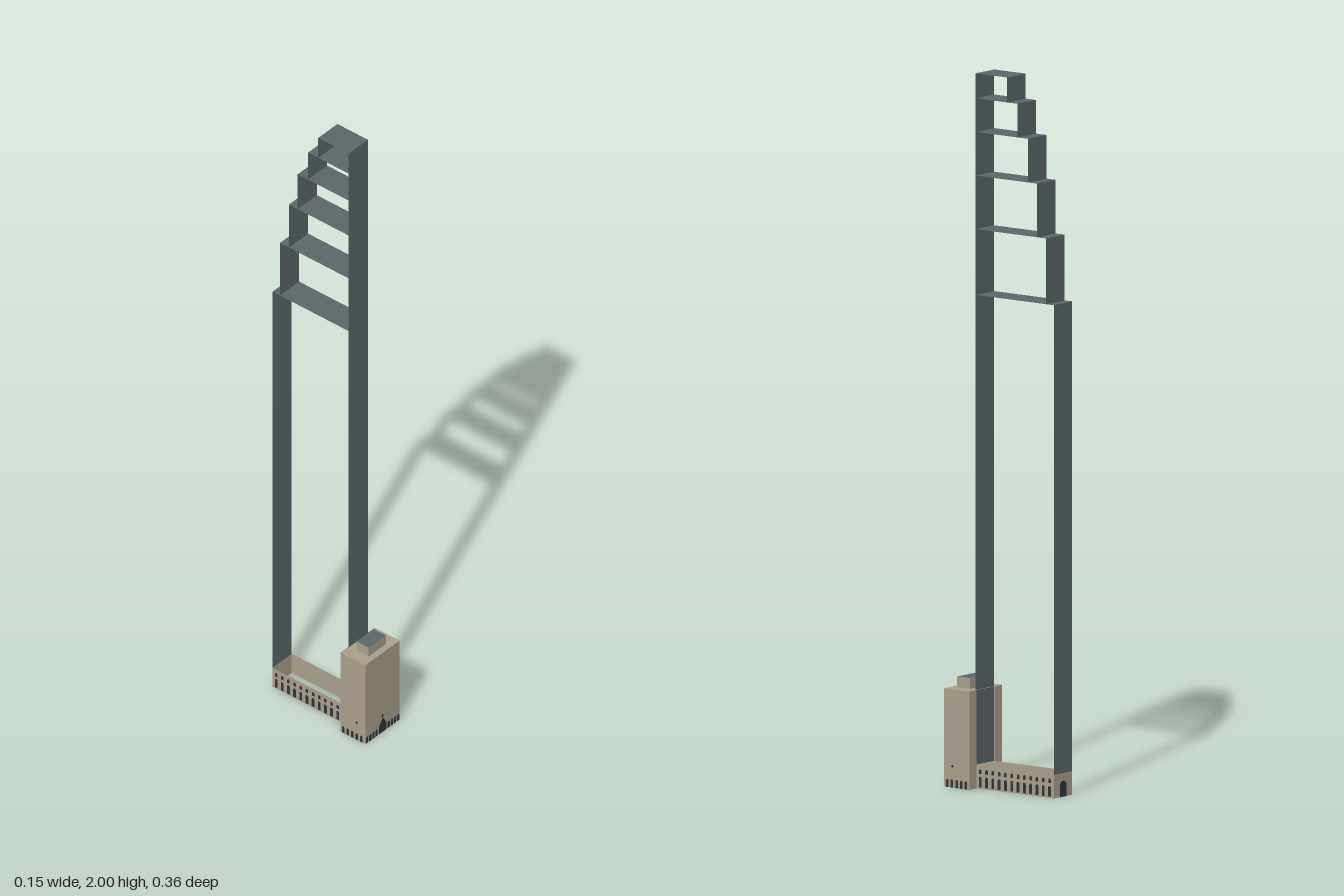
import * as THREE from 'three';

const material = (name, color) => new THREE.MeshStandardMaterial({ name, color, side: THREE.DoubleSide });

export function createModel() {
  const stone = material('stone', 0xaba18c);
  const slate = material('slate', 0x5b676a);
  const dark = material('dark opening', 0x30343a);
  const model = new THREE.Group();

  const add = (geometry, mat, name, x, y, z, turn = 0) => {
    const mesh = new THREE.Mesh(geometry, mat);
    mesh.name = name;
    mesh.position.set(x, y, z);
    mesh.rotation.y = turn;
    model.add(mesh);
    return mesh;
  };
  // Upright sheet facing front or back
  const wallZ = (name, mat, x0, x1, y0, y1, z) =>
    add(new THREE.PlaneGeometry(x1 - x0, y1 - y0), mat, name, (x0 + x1) / 2, (y0 + y1) / 2, z);
  // Upright sheet facing sideways
  const wallX = (name, mat, x, y0, y1, z0, z1) =>
    add(new THREE.PlaneGeometry(z1 - z0, y1 - y0), mat, name, x, (y0 + y1) / 2, (z0 + z1) / 2, Math.PI / 2);
  // Level sheet
  const deck = (name, mat, x, y, z0, z1) =>
    add(new THREE.PlaneGeometry(2 * x, z1 - z0).rotateX(-Math.PI / 2), mat, name, 0, y, (z0 + z1) / 2);
  // Thin round-headed opening
  const arch = (w, h) => {
    const s = new THREE.Shape();
    s.moveTo(-w / 2, 0);
    s.lineTo(w / 2, 0);
    s.lineTo(w / 2, h - w / 2);
    s.absarc(0, h - w / 2, w / 2, 0, Math.PI, false);
    s.closePath();
    return new THREE.ShapeGeometry(s, 4);
  };

  const half = 0.041, front = 0.094, back = -0.181, eaves = 0.066;

  // Tall sheets and the stepped decks between them
  const steps = [[1.38, back], [1.564, -0.154], [1.714, -0.122], [1.836, -0.09], [1.93, -0.053], [2, -0.016]];
  wallZ('frontSheet', slate, -half, half, eaves, 2, front);
  let low = eaves;
  for (const [y, z] of steps) {
    wallZ('backSheet', slate, -half, half, low, y, z);
    deck('steppedDeck', slate, half, y, z, front);
    low = y;
  }

  // Hall walls with two rows of windows
  wallZ('hallBackWall', stone, -half, half, 0, eaves, back);
  add(arch(0.03, 0.045), dark, 'backDoor', 0, 0, back - 0.001, Math.PI);
  for (const side of [-1, 1]) {
    wallX('hallSideWall', stone, side * half, 0, eaves, back, front);
    for (let i = 0; i < 12; i++) {
      const z = back + 0.014 + i * 0.0222;
      const x = side * (half + 0.001);
      add(arch(0.01, 0.03), dark, 'hallWindow', x, 0.004, z, side * Math.PI / 2);
      add(arch(0.009, 0.013), dark, 'upperWindow', x, 0.042, z, side * Math.PI / 2);
    }
  }

  // Tower block, open toward the hall
  const tw = 0.073, tf = 0.181, tb = 0.091, th = 0.275;
  wallZ('towerFront', stone, -tw, tw, 0, th, tf);
  deck('towerRoof', stone, tw, th, tb, tf);
  for (const side of [-1, 1]) {
    wallX('towerSide', stone, side * tw, 0, th, tb, tf);
    wallZ('towerBack', stone, side < 0 ? -tw : half, side < 0 ? -half : tw, 0, th, tb);
    // Arcade round the foot
    for (let i = 0; i < 4; i++) {
      add(arch(0.009, 0.023), dark, 'frontArcade', side * (0.026 + i * 0.0135), 0, tf + 0.001);
    }
    for (let i = 0; i < 5; i++) {
      add(arch(0.009, 0.023), dark, 'sideArcade', side * (tw + 0.001), 0, 0.102 + i * 0.0165, side * Math.PI / 2);
    }
    add(new THREE.CircleGeometry(0.004, 8), dark, 'sideRoundWindow', side * (tw + 0.001), 0.06, 0.15, side * Math.PI / 2);
  }

  // Gabled portal
  const gable = new THREE.Shape();
  gable.moveTo(-0.016, 0);
  gable.lineTo(0.016, 0);
  gable.lineTo(0.016, 0.026);
  gable.lineTo(0, 0.05);
  gable.lineTo(-0.016, 0.026);
  gable.closePath();
  add(new THREE.ShapeGeometry(gable), dark, 'portal', 0, 0, tf + 0.001);
  add(new THREE.CircleGeometry(0.005, 8), dark, 'roundWindow', 0, 0.056, tf + 0.001);

  // Cap: stone sides and slate top
  const cap = new THREE.BoxGeometry(0.073, 0.03, 0.045);
  add(cap, [stone, stone, slate, stone, stone, stone], 'towerCap', 0, th + 0.015, 0.14);

  return model;
}
